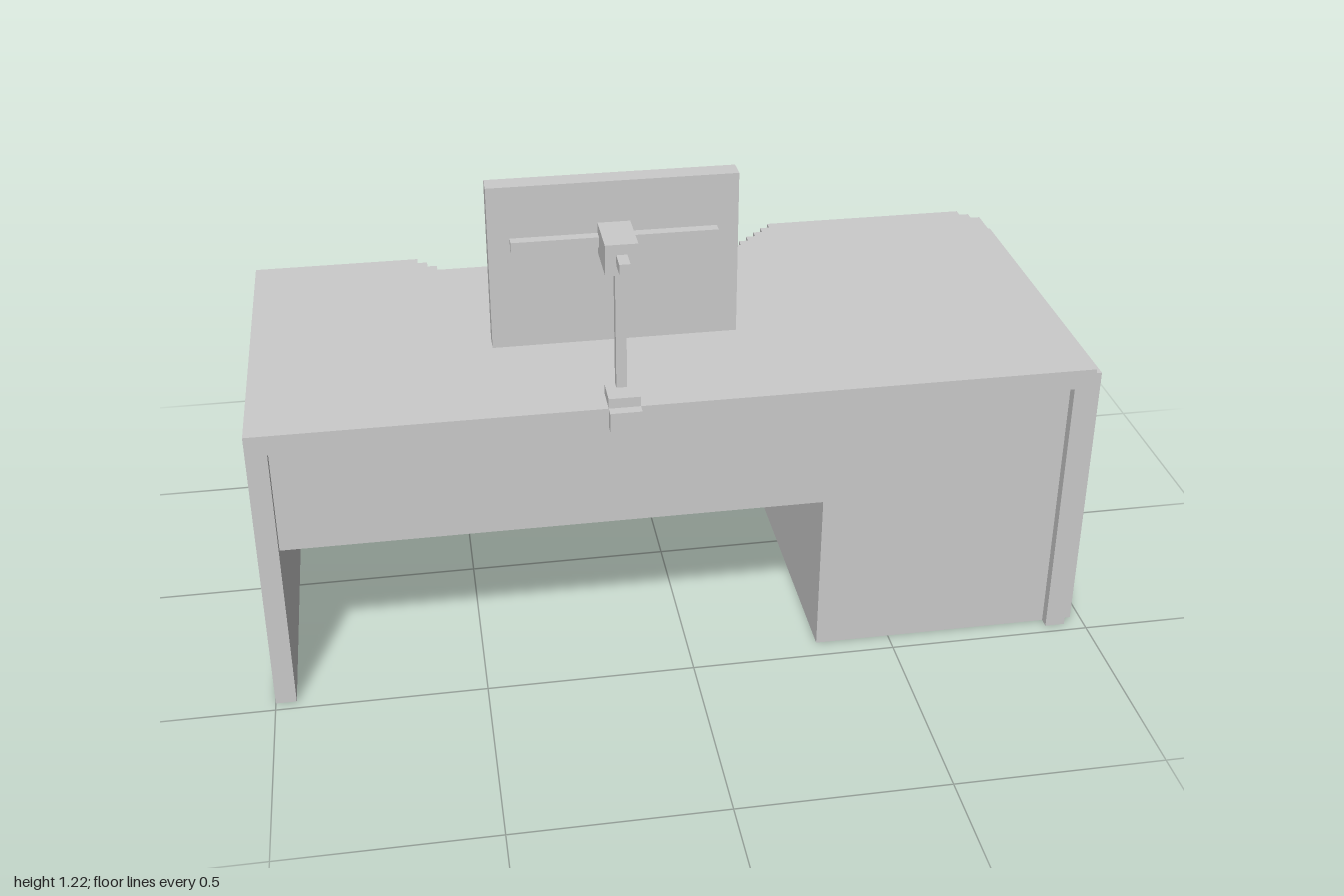
import * as THREE from 'three';

// Everything sits on a grid; the whole desk is 82 cells wide.
const U = 2 / 82;
const material = new THREE.MeshStandardMaterial({ color: 0xcccccc, flatShading: true });

// Box from its cell ranges: [x0, x1], [y0, y1], [z0, z1]
function box(parent, name, [x0, x1], [y0, y1], [z0, z1]) {
  const geometry = new THREE.BoxGeometry((x1 - x0) * U, (y1 - y0) * U, (z1 - z0) * U);
  const mesh = new THREE.Mesh(geometry, material);
  mesh.position.set((x0 + x1) / 2 * U, (y0 + y1) / 2 * U, (z0 + z1) / 2 * U);
  mesh.name = name;
  parent.add(mesh);
}

// Vertical prism from an [x, z] floor plan
function prism(parent, name, plan, y0, y1) {
  const shape = new THREE.Shape(plan.map(([x, z]) => new THREE.Vector2(x * U, -z * U)));
  const geometry = new THREE.ExtrudeGeometry(shape, { depth: (y1 - y0) * U, bevelEnabled: false });
  geometry.rotateX(-Math.PI / 2);
  const mesh = new THREE.Mesh(geometry, material);
  mesh.position.y = y0 * U;
  mesh.name = name;
  parent.add(mesh);
}

// Staircase of single cells, n risers walking towards -x, each moving z by dz
function stairs(x, z, n, dz) {
  const points = [];
  for (let i = 0; i < n; i++) points.push([x - i, z + i * dz], [x - i, z + (i + 1) * dz]);
  return points;
}

function group(parent, name) {
  const g = new THREE.Group();
  g.name = name;
  parent.add(g);
  return g;
}

export function createModel() {
  const model = new THREE.Group();
  model.name = 'desk';

  // Worktop with stepped cut-outs along the user's edge
  const backCorner = stairs(39, -16.5, 3, -1).slice(0, 1)
    .concat([[38, -16.5], [38, -17.5], [37, -17.5], [37, -18.5]]);
  prism(model, 'worktop', [
    [-41, 19.5], [39, 19.5], ...backCorner,
    ...stairs(15, -18.5, 6, 1), ...stairs(-22, -12.5, 3, -1), [-41, -15.5],
  ], 28, 30);

  // Supports
  box(model, 'sidePanel', [-41, -39], [0, 28], [-15.5, 19.5]);
  box(model, 'modestyPanel', [-39, 13], [17, 28], [17.5, 18.5]);
  prism(model, 'pedestal', [
    [13, 18.5], [37, 18.5], [37, 19.5], [39, 19.5], ...backCorner,
    ...stairs(15, -18.5, 2, 1), [13, -16.5],
  ], 0, 28);

  // Drawers with handles
  const drawers = group(model, 'drawers');
  [[1, 6], [7, 13], [14, 20], [21, 27]].forEach(([y0, y1]) => {
    box(drawers, 'drawerFront', [16, 36], [y0, y1], [-19.5, -18.5]);
    box(drawers, 'drawerHandle', [24, 28], [y1 - 2, y1 - 1], [-20.5, -19.5]);
  });

  // Raised rim around the pedestal's outer side
  const rim = group(model, 'sideRim');
  box(rim, 'rimFrontPost', [39, 40], [0, 28], [17.5, 18.5]);
  box(rim, 'rimBackPost', [39, 40], [0, 28], [-15.5, -14.5]);
  box(rim, 'rimTop', [39, 40], [28, 29], [-15.5, 18.5]);

  // Outlet boxes, conduits and plugs
  const wiring = group(model, 'wiring');
  box(wiring, 'largeOutletBox', [39, 41], [14, 21], [9.5, 15.5]);
  box(wiring, 'conduit', [39, 40], [17, 18], [5.5, 9.5]);
  box(wiring, 'conduit', [39, 40], [6, 17], [5.5, 6.5]);
  box(wiring, 'smallOutletBox', [39, 41], [18, 24], [-13.5, -10.5]);
  box(wiring, 'conduit', [39, 40], [22, 23], [-10.5, -1.5]);
  box(wiring, 'conduit', [39, 40], [6, 22], [-2.5, -1.5]);
  for (const z of [3.5, -4.5]) {
    box(wiring, 'plugCentre', [39, 41], [1, 6], [z + 1, z + 4]);
    box(wiring, 'plugSide', [39, 41], [2, 5], [z, z + 1]);
    box(wiring, 'plugSide', [39, 41], [2, 5], [z + 4, z + 5]);
  }

  // Monitor on a clamped pole
  const monitor = group(model, 'monitor');
  box(monitor, 'screen', [-18, 5], [34, 50], [11.5, 13.5]);
  box(monitor, 'mountBar', [-16, 3], [44, 45], [13.5, 14.5]);
  box(monitor, 'mountBlock', [-8, -5], [43, 46], [13.5, 18.5]);
  box(monitor, 'mountPeg', [-7, -6], [44, 45], [18.5, 20.5]);
  box(monitor, 'pole', [-7, -6], [31, 43], [16.5, 17.5]);
  box(monitor, 'clampPlate', [-8, -5], [30, 31], [16.5, 19.5]);
  box(monitor, 'clampHook', [-8, -5], [28, 30], [19.5, 20.5]);

  return model;
}
